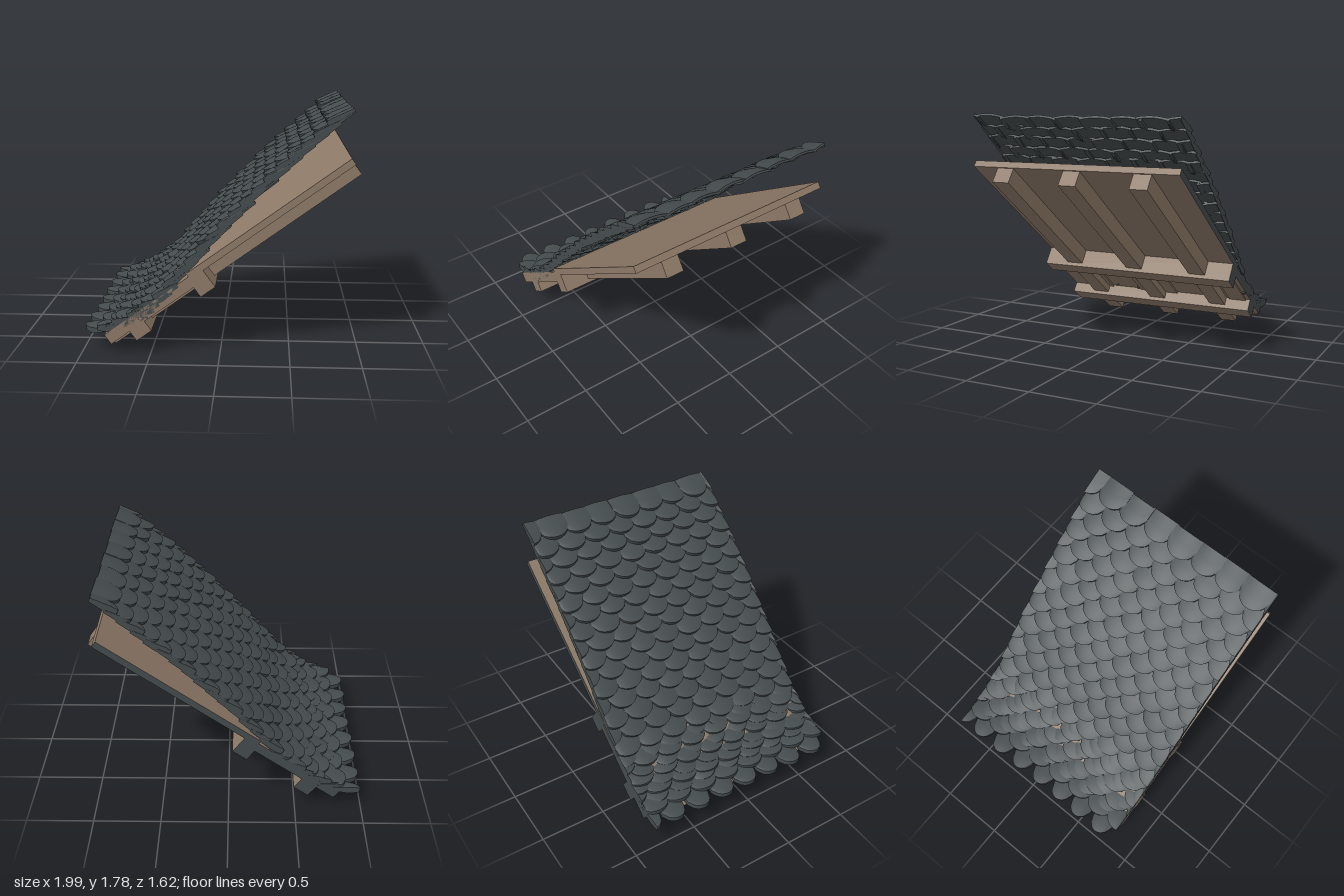
import * as THREE from 'three';
import { mergeGeometries } from 'three/addons/utils/BufferGeometryUtils.js';

const HALF = 0.81; // half depth of the roof panel

export function createModel() {
  const model = new THREE.Group();
  model.name = 'roofSection';
  const wood = new THREE.MeshStandardMaterial({ color: 0x8e7a68 });
  wood.name = 'wood';
  const slate = new THREE.MeshStandardMaterial({ color: 0x454c4e });
  slate.name = 'slate';

  // Sloping frame: local x runs up the slope, local y points away from it
  const frame = new THREE.Group();
  frame.name = 'timberFrame';
  frame.position.set(-0.786, 0.005, 0);
  frame.rotation.z = Math.atan(0.727);
  model.add(frame);

  const beam = (name, u0, u1, n0, n1, z0, z1, darkBack = false) => {
    const geo = new THREE.BoxGeometry(u1 - u0, n1 - n0, z1 - z0);
    const mat = darkBack ? [wood, wood, wood, wood, wood, slate] : wood;
    const mesh = new THREE.Mesh(geo, mat);
    mesh.position.set((u0 + u1) / 2, (n0 + n1) / 2, (z0 + z1) / 2);
    mesh.name = name;
    frame.add(mesh);
  };

  // Rafters
  for (const z of [-0.54, 0, 0.54]) beam('rafter', 0, 2.201, 0, 0.132, z - 0.067, z + 0.067);
  // Cross beams
  beam('upperPurlin', 0.785, 0.913, -0.03, 0.125, -HALF, HALF, true);
  beam('lowerPurlin', 0.212, 0.345, -0.03, 0.125, -HALF, HALF, true);
  // Upper deck sheet
  beam('upperDeck', 0.8, 2.21, 0.118, 0.168, -HALF, HALF, true);
  // Lower deck planks, alternately a little thicker
  const seams = [-HALF, -0.775, -0.635, -0.17, 0.17, 0.435, HALF];
  for (let i = 0; i < seams.length - 1; i++) {
    beam('lowerDeckPlank', 0.045, 0.85, i % 2 ? 0.055 : 0.068, 0.14, seams[i], seams[i + 1], i === 0);
  }

  // Shingle cover
  const shingles = new THREE.Mesh(buildShingles(), slate);
  shingles.name = 'shingles';
  model.add(shingles);
  return model;
}

// One domed slab with a rounded tip at x = 0, thinning toward its tail
function scaleGeometry(halfWidth, length, thick) {
  const geo = new THREE.BoxGeometry(1, 1, 2, 4, 1, 8);
  const p = geo.attributes.position;
  for (let i = 0; i < p.count; i++) {
    const s = p.getX(i) + 0.5, up = p.getY(i), w = p.getZ(i);
    const tip = 0.12 * (1 - Math.sqrt(1 - 0.95 * w * w));
    const t = thick * (1 - 0.65 * s);
    const dome = 0.016 * w * w + (up > 0 && s < 0.1 ? 0.007 : 0);
    p.setXYZ(i, tip + (length - tip) * s, up * t - dome, w * halfWidth);
  }
  return geo;
}

function buildShingles() {
  let seed = 7;
  const jitter = (a) => {
    seed = (seed * 16807) % 2147483647;
    return (seed / 2147483647 - 0.5) * 2 * a;
  };
  // Sagging roof line, from eave to ridge
  const line = new THREE.CatmullRomCurve3([
    [-0.99, 0.165], [-0.85, 0.21], [-0.72, 0.27], [-0.58, 0.355], [-0.45, 0.465], [-0.3, 0.635],
    [0, 0.97], [0.3, 1.275], [0.6, 1.555], [0.73, 1.672],
  ].map(([x, y]) => new THREE.Vector3(x, y, 0)));
  const parts = [];

  const addRow = (t, offset, lift, wobble, halfWidth) => {
    const point = line.getPointAt(t), tan = line.getTangentAt(t);
    const slope = Math.atan2(tan.y, tan.x);
    for (let k = -1; k < 10; k++) {
      const z = -0.83 + offset + k * 0.215 + jitter(0.01);
      if (Math.abs(z) > HALF + halfWidth - 0.03) continue;
      const geo = scaleGeometry(halfWidth, 0.205, 0.046);
      geo.rotateX(jitter(0.05 + wobble));
      geo.rotateZ(slope - 0.23 + jitter(0.03 + wobble));
      geo.translate(point.x + jitter(0.006), point.y + lift + jitter(0.004), z);
      // Trim flush with the panel's sides
      const p = geo.attributes.position;
      for (let i = 0; i < p.count; i++) p.setZ(i, THREE.MathUtils.clamp(p.getZ(i), -HALF, HALF));
      geo.computeVertexNormals();
      parts.push(geo);
    }
  };

  const rows = 21;
  for (let r = 0; r < rows; r++) {
    addRow(r / (rows - 1), r % 2 ? 0.1075 : 0, 0, 0, r === 0 ? 0.092 : 0.122);
  }
  // Crowded extra rows where the roof line bends
  [0.08, 0.125, 0.175, 0.225].forEach((t, i) => addRow(t, i % 2 ? 0.05 : 0.16, -0.012, 0.07, 0.11));
  return mergeGeometries(parts);
}
